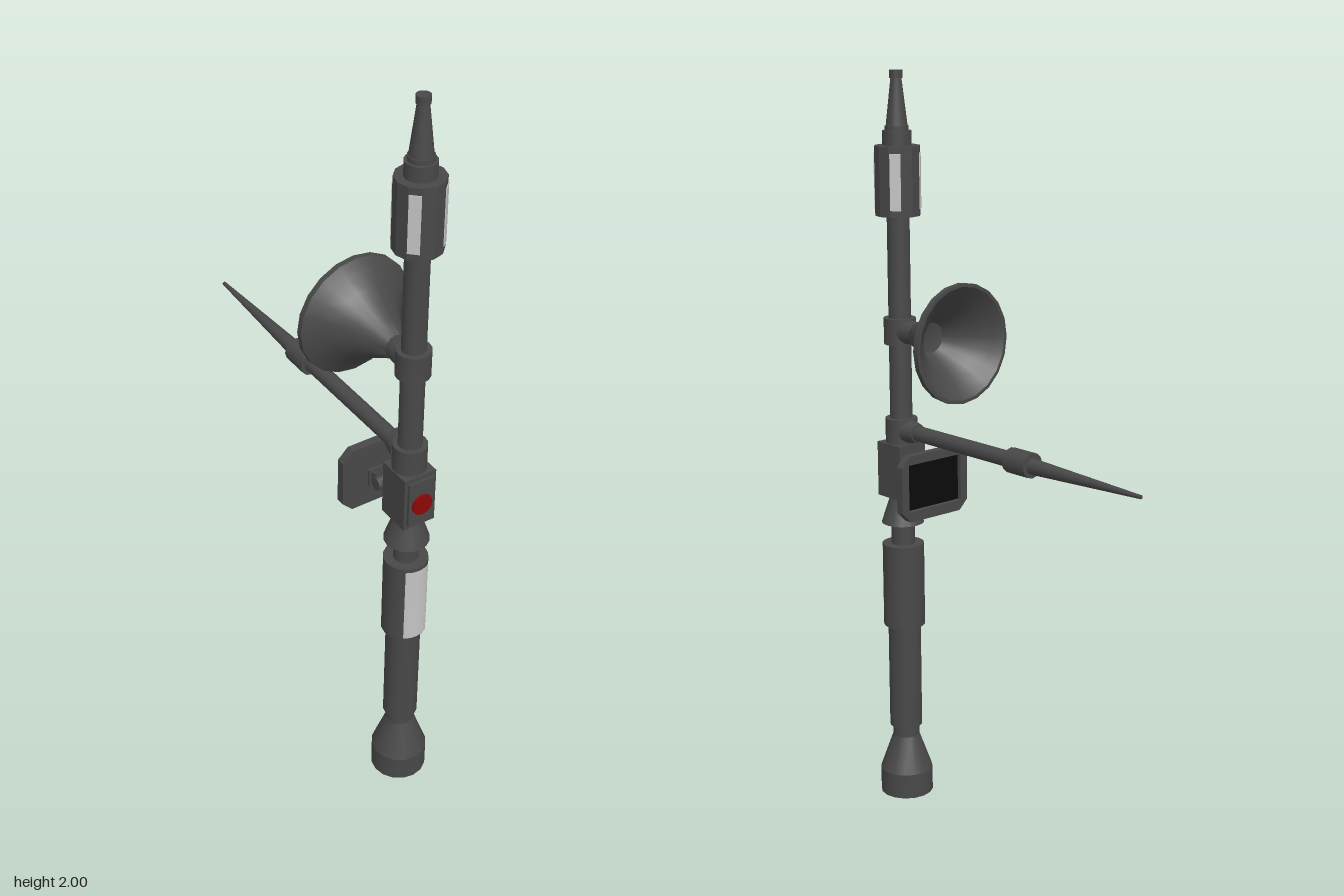
import * as THREE from 'three';
import { toCreasedNormals } from 'three/addons/utils/BufferGeometryUtils.js';

const AXIS_Z = 0.405; // the mast stands toward the front

const material = (name, color, extra = {}) =>
  Object.assign(new THREE.MeshStandardMaterial({ color, ...extra }), { name });

export function createModel() {
  const metal = material('dark metal', 0x484848);
  const glass = material('pale glass', 0xc4c4c4, { side: THREE.DoubleSide });
  const red = material('red lamp', 0x8c0606);
  const black = material('black screen', 0x0b0b0b);

  const model = new THREE.Group();
  model.name = 'sensorMast';

  const add = (name, geometry, mat, x = 0, y = 0, z = 0, parent = model) => {
    const mesh = new THREE.Mesh(geometry, mat);
    mesh.name = name;
    mesh.position.set(x, y, z);
    parent.add(mesh);
    return mesh;
  };
  const box = (name, w, h, d, x, y, z, mat = metal) =>
    add(name, new THREE.BoxGeometry(w, h, d), mat, x, y, z);

  // Upright section of the mast, from y0 to y1
  const section = (name, y0, y1, r0, r1 = r0, sides = 16) =>
    add(name, toCreasedNormals(new THREE.CylinderGeometry(r1, r0, y1 - y0, sides), 0.5),
      metal, 0, (y0 + y1) / 2, AXIS_Z);

  // Horizontal section running backward, from z0 to z1
  const rod = (name, y, z0, z1, r0, r1 = r0, sides = 12) =>
    add(name, new THREE.CylinderGeometry(r1, r0, z0 - z1, sides).rotateX(-Math.PI / 2),
      metal, 0, y, (z0 + z1) / 2);

  // Foot, grip and lower stem
  section('foot', 0, 0.07, 0.073);
  section('footCone', 0.07, 0.17, 0.073, 0.037);
  section('footNeck', 0.17, 0.2, 0.037);
  section('lowerTube', 0.2, 0.5, 0.045);
  section('lampHousing', 0.5, 0.735, 0.057);
  section('neck', 0.735, 0.8, 0.032);
  section('flare', 0.795, 0.87, 0.058, 0.033);

  // Curved light panel on the front of the housing
  add('lowerLightPanel',
    new THREE.CylinderGeometry(0.0595, 0.0595, 0.222, 6, 1, true, -0.6, 1.2),
    glass, 0, 0.617, AXIS_Z);

  // Control box with red lamp
  box('controlBox', 0.09, 0.15, 0.092, 0, 0.945, AXIS_Z + 0.002);
  box('controlBoxFace', 0.072, 0.126, 0.008, 0, 0.945, AXIS_Z + 0.051);
  add('redLamp', new THREE.CylinderGeometry(0.028, 0.028, 0.008, 16).rotateX(Math.PI / 2),
    red, 0, 0.94, AXIS_Z + 0.058);

  // Upper stem, collars and beacon
  section('upperTube', 1.02, 1.64, 0.03);
  section('boomCollar', 1.018, 1.088, 0.043);
  section('dishCollar', 1.29, 1.36, 0.043);
  section('beaconHousing', 1.63, 1.81, 0.06, 0.06, 12);
  section('beaconCap', 1.81, 1.848, 0.038);
  section('spireBase', 1.848, 1.86, 0.031);
  section('spire', 1.855, 1.982, 0.029, 0.014);
  section('spireTip', 1.98, 2, 0.017);

  // Four window plates, each covering one diagonal facet of the beacon
  for (let i = 0; i < 4; i++) {
    const window = add('beaconWindow', new THREE.BoxGeometry(0.0285, 0.145, 0.004), glass);
    const a = Math.PI / 4 + i * Math.PI / 2;
    window.position.set(Math.sin(a) * 0.058, 1.72, AXIS_Z + Math.cos(a) * 0.058);
    window.rotation.y = a;
  }

  // Boom reaching backward
  rod('boomSocket', 1.055, 0.375, 0.335, 0.034, 0.025);
  rod('boomTube', 1.055, 0.34, -0.03, 0.021);
  rod('boomCollarRing', 1.055, -0.03, -0.108, 0.033);
  rod('boomSpike', 1.053, -0.105, -0.478, 0.021, 0.005);

  // Dish opening backward, turned slightly on its mount
  rod('dishMount', 1.325, 0.38, 0.33, 0.034, 0.03);
  const profile = [
    [0, 0], [0.031, 0], [0.05, 0.038], [0.07, 0.075], [0.098, 0.115],
    [0.13, 0.143], [0.157, 0.161], [0.157, 0.176], [0.148, 0.176],
    [0.125, 0.157], [0.091, 0.126], [0.062, 0.087], [0.04, 0.055], [0, 0.045],
  ].map(([r, t]) => new THREE.Vector2(r, t));
  const dish = add('dish',
    toCreasedNormals(new THREE.LatheGeometry(profile, 20).rotateX(-Math.PI / 2), 0.6),
    metal, 0, 1.323, 0.334);
  dish.rotation.y = 0.03;

  // Display bracket
  box('bracketBlock', 0.06, 0.07, 0.03, 0, 0.955, 0.354);
  add('bracketHinge', new THREE.CylinderGeometry(0.018, 0.018, 0.11, 12).rotateZ(Math.PI / 2),
    metal, 0, 0.945, 0.345);
  for (const side of [-1, 1]) {
    const arm = box('bracketArm', 0.012, 0.018, 0.065, side * 0.028, 0.935, 0.314);
    arm.rotation.x = -0.35;
  }
  box('bracketPad', 0.08, 0.05, 0.01, 0, 0.92, 0.292);

  // Display: chamfered frame around a recessed screen facing backward
  const W = 0.113, H = 0.09, C = 0.028;
  const outline = () => new THREE.Shape([
    [-W + C, -H], [W - C, -H], [W, -H + C], [W, H - C],
    [W - C, H], [-W + C, H], [-W, H - C], [-W, -H + C],
  ].map(([x, y]) => new THREE.Vector2(x, y)));
  const frame = outline();
  frame.holes.push(new THREE.Path([
    [-0.09, -0.062], [-0.09, 0.066], [0.09, 0.066], [0.09, -0.062],
  ].map(([x, y]) => new THREE.Vector2(x, y))));
  const extrude = (shape, depth) =>
    new THREE.ExtrudeGeometry(shape, { depth, bevelEnabled: false });
  add('displayFrame', extrude(frame, 0.014), metal, 0, 0.93, 0.267);
  add('displayBack', extrude(outline(), 0.009), metal, 0, 0.93, 0.281);
  box('displayScreen', 0.178, 0.126, 0.004, 0, 0.932, 0.28, black);

  return model;
}
